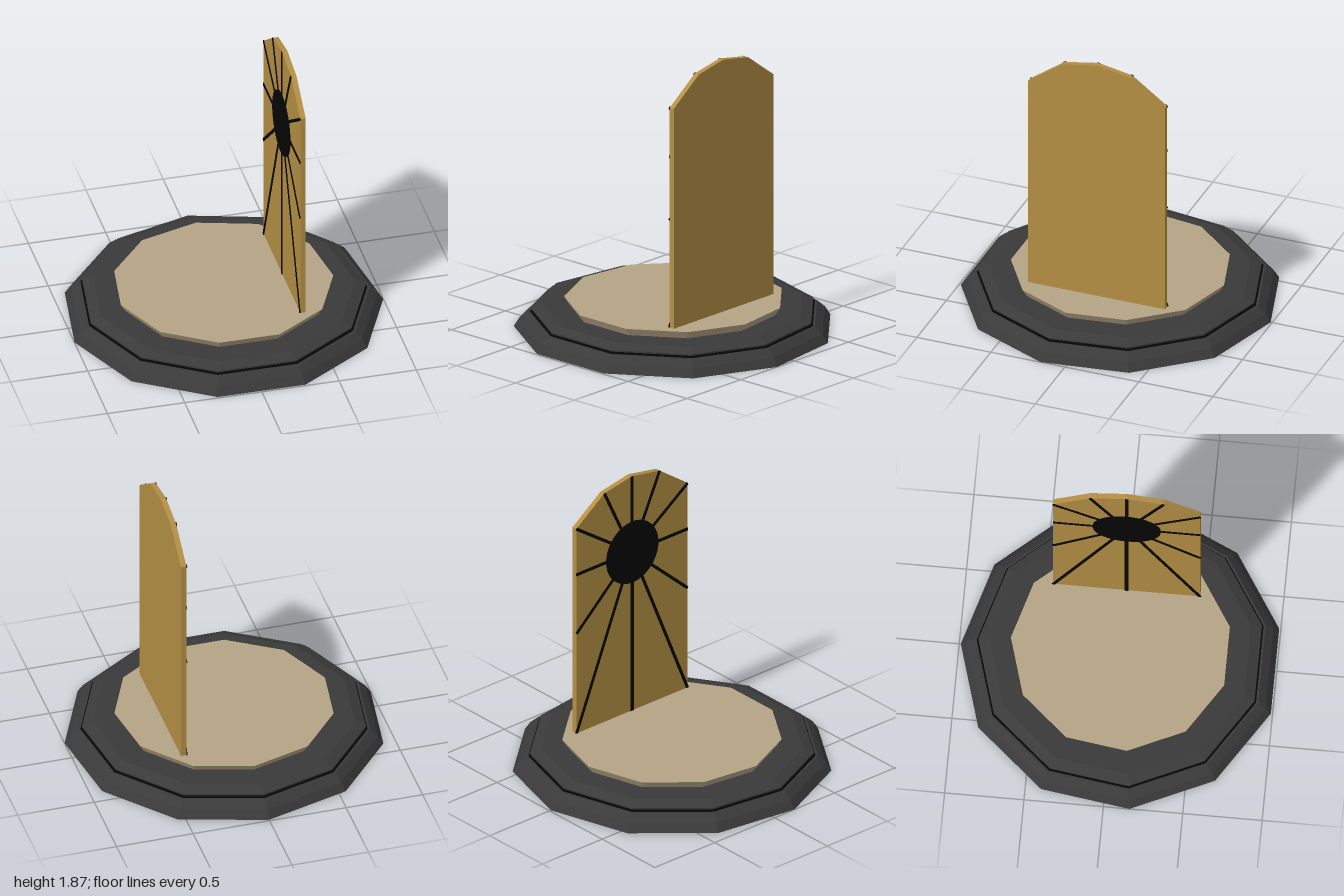
import * as THREE from 'three';

const SIDES = 11;
const CZ = 0.02; // centre of the odd-sided base

const material = (color) => new THREE.MeshStandardMaterial({ color, flatShading: true });

export function createModel() {
  const model = new THREE.Group();
  const grey = material(0x3a3a3a);
  const black = material(0x050505);
  const tan = material(0xb5a586);
  const gold = material(0xb48f44);

  const add = (name, geometry, mat, parent = model) => {
    const mesh = new THREE.Mesh(geometry, mat);
    mesh.name = name;
    parent.add(mesh);
    return mesh;
  };

  // Eleven-sided tiers, with one corner pointing to the back
  const tier = (name, profile, mat) => {
    const points = profile.map(([r, y]) => new THREE.Vector2(r, y));
    add(name, new THREE.LatheGeometry(points, SIDES, Math.PI), mat).position.z = CZ;
  };
  tier('plinth', [[0, 0], [1.01, 0], [0.975, 0.055], [0.925, 0.1], [0, 0.1]], grey);
  tier('groove', [[0.91, 0.1], [0.89, 0.104], [0.885, 0.12]], black);
  tier('upperPlinth', [[0, 0.112], [0.9, 0.112], [0.9, 0.122], [0.83, 0.15], [0, 0.15]], grey);
  tier('floor', [[0, 0.15], [0.665, 0.15], [0.695, 0.2], [0, 0.2]], tan);

  // Upright panel with a faceted arched top
  const half = 0.463;
  const outline = [[-half, 0.2], [half, 0.2], [half, 1.655], [0.23, 1.825],
    [0, 1.867], [-0.23, 1.825], [-half, 1.655]];
  const shape = new THREE.Shape(outline.map(([z, y]) => new THREE.Vector2(z, y)));
  const panelGeometry = new THREE.ExtrudeGeometry(shape, { depth: 0.035, bevelEnabled: false });
  panelGeometry.rotateY(-Math.PI / 2);
  add('panel', panelGeometry, gold).position.set(0.416, 0, CZ);

  // Hub and spokes on the inner face
  const sunburst = new THREE.Group();
  sunburst.name = 'sunburst';
  sunburst.position.set(0.379, 1.33, CZ);
  model.add(sunburst);

  const hub = add('hub', new THREE.CylinderGeometry(0.215, 0.215, 0.01, 40), black, sunburst);
  hub.rotation.z = Math.PI / 2;
  hub.position.x = -0.002;

  const spoke = (z, y, width = 0.02) => {
    const length = Math.hypot(z, y);
    const bar = add('spoke', new THREE.BoxGeometry(0.006, length, width), black, sunburst);
    bar.position.set(0, y / 2, z / 2);
    bar.rotation.x = Math.atan2(z, y);
  };
  spoke(0, 0.535);
  spoke(0, -1.13, 0.025);
  for (const side of [-1, 1]) {
    for (const [z, y] of [[0.23, 0.495], [half, 0.325], [half, 0], [half, -0.42], [half, -1.13]]) {
      spoke(side * z, y);
    }
  }
  return model;
}
